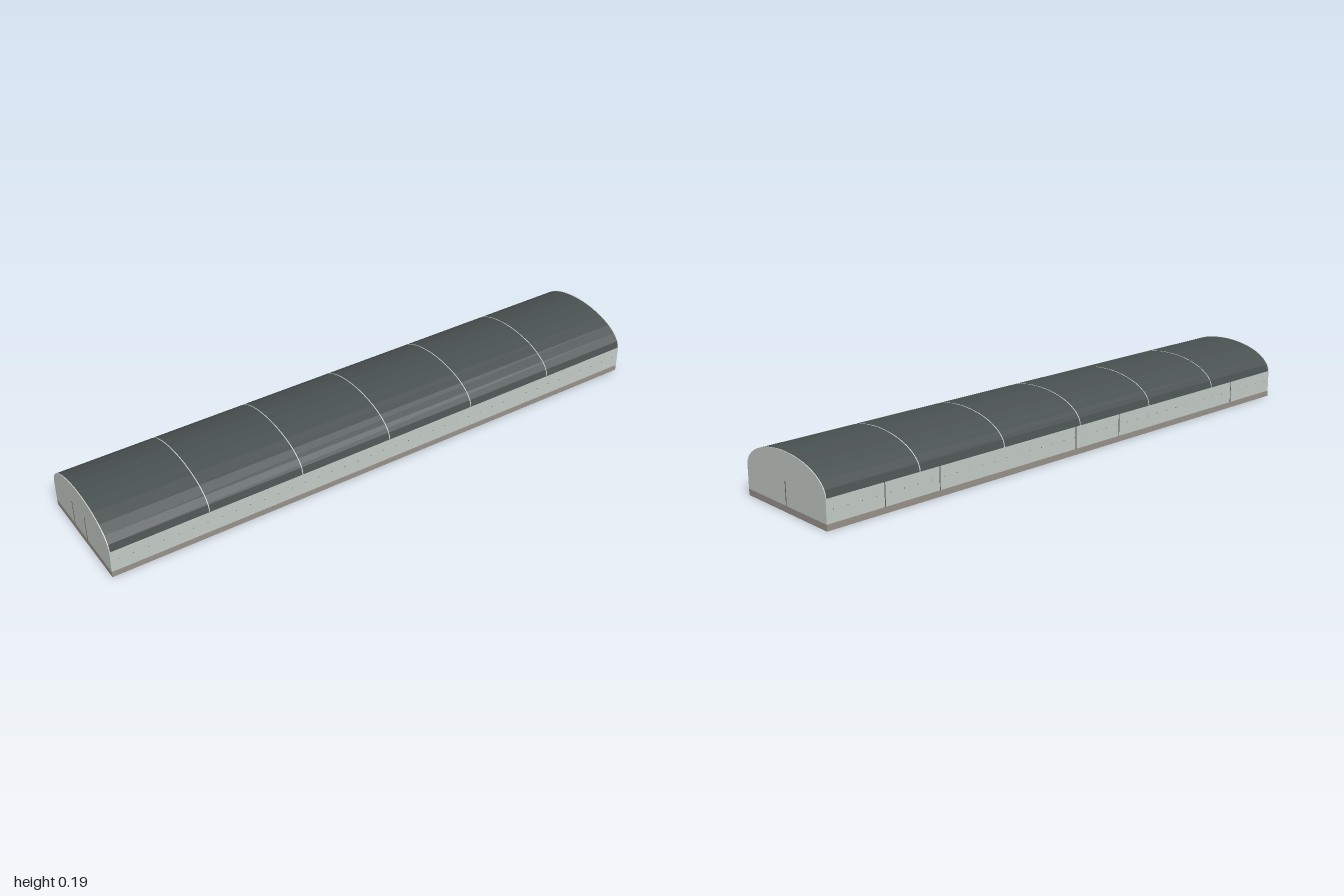
import * as THREE from 'three';

const L = 1.96, W = 0.397; // length and width of the hall
const BASE = 0.02, EAVE = 0.095, RISE = 0.09;

const mat = (name, color) => {
  const m = new THREE.MeshStandardMaterial({ color });
  m.name = name;
  return m;
};

// Half-ellipse section, extruded along x and centred
function archGeometry(segments, length) {
  const shape = new THREE.Shape();
  for (let i = 0; i <= segments; i++) {
    const a = (i / segments) * Math.PI;
    const x = (Math.cos(a) * W) / 2, y = EAVE + Math.sin(a) * RISE;
    if (i) shape.lineTo(x, y); else shape.moveTo(x, y);
  }
  shape.closePath();
  const g = new THREE.ExtrudeGeometry(shape, { depth: length, bevelEnabled: false });
  g.translate(0, 0, -length / 2);
  return g.rotateY(Math.PI / 2);
}

export function createModel() {
  const model = new THREE.Group();
  const hall = new THREE.Group();
  hall.name = 'hall';
  hall.rotation.y = -0.2;
  model.add(hall);

  const wall = mat('pale wall', 0xc3cac4);
  const roof = mat('dark roof', 0x4a5151);
  const base = mat('stone base', 0x98918a);
  const joint = mat('joint grey', 0x5c615f);

  const add = (name, geometry, material, x = 0, y = 0, z = 0) => {
    const m = new THREE.Mesh(geometry, material);
    m.name = name;
    m.position.set(x, y, z);
    hall.add(m);
  };
  const box = (name, material, w, h, d, x, y, z) =>
    add(name, new THREE.BoxGeometry(w, h, d), material, x, y, z);

  // Plinth, walls and faceted barrel roof
  box('plinth', base, L, BASE, W, 0, BASE / 2, 0);
  box('walls', wall, L, EAVE - BASE, W, 0, (EAVE + BASE) / 2, 0);
  add('barrelRoof', archGeometry(12, L - 0.004), [wall, roof]);

  // Gables and cross walls, whose finer arches just break through the roof
  for (let i = -3; i <= 3; i++) {
    const x = (i / 3) * (L / 2 - 0.0015);
    add(Math.abs(i) === 3 ? 'gable' : 'crossWall', archGeometry(24, 0.003), wall, x);
  }

  // Upright joints on the back wall
  for (const x of [0.78, 0.58, 0.02, -0.18, -0.76])
    box('wallJoint', joint, 0.003, EAVE - BASE, 0.001, x, (EAVE + BASE) / 2, -W / 2);

  // Door joints on the end walls
  box('doorJoint', joint, 0.001, 0.075, 0.003, L / 2, 0.0575, 0);
  for (const z of [-0.06, 0.03])
    box('doorJoint', joint, 0.001, 0.09, 0.003, -L / 2, 0.065, z);

  // Row of small fixings at mid height
  for (let i = 0; i < 40; i++)
    for (const s of [-1, 1])
      box('fixing', joint, 0.003, 0.002, 0.001, -0.955 + i * 0.049, 0.06, (s * W) / 2);

  return model;
}
